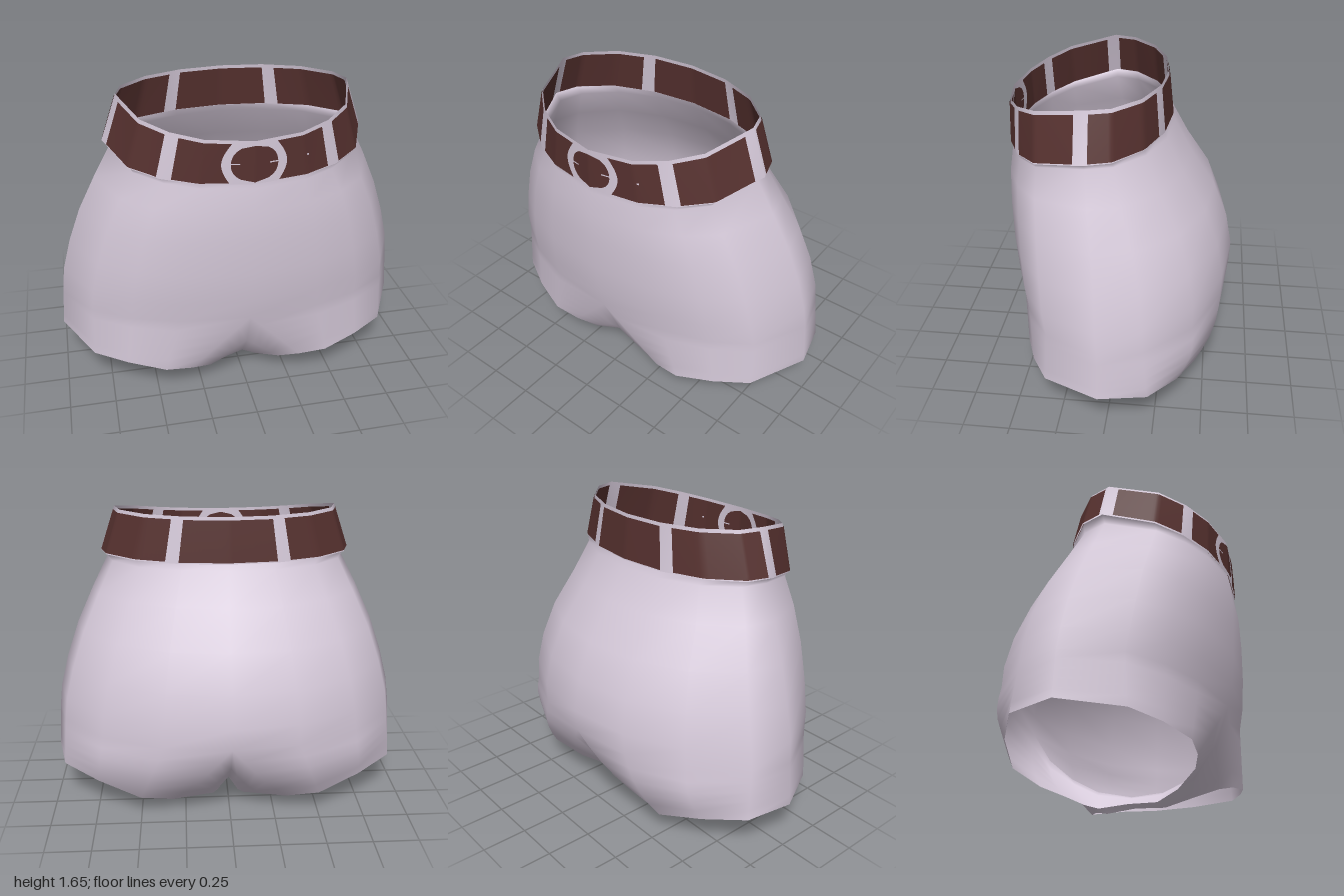
import * as THREE from 'three';
import { mergeGeometries, mergeVertices } from 'three/addons/utils/BufferGeometryUtils.js';

const fabric = new THREE.MeshStandardMaterial({ color: 0xd6cada, side: THREE.DoubleSide });
fabric.name = 'pale lilac fabric';
const leather = new THREE.MeshStandardMaterial({ color: 0x56312f, side: THREE.DoubleSide });
leather.name = 'dark brown leather';

// Surface from a function of u (rightwards) and v (upwards), both 0..1
function grid(nu, nv, fn) {
  const pos = [], idx = [];
  for (let j = 0; j <= nv; j++)
    for (let i = 0; i <= nu; i++) pos.push(...fn(i / nu, j / nv).toArray());
  for (let j = 0; j < nv; j++)
    for (let i = 0; i < nu; i++) {
      const a = j * (nu + 1) + i, b = a + 1, c = a + nu + 1, d = c + 1;
      idx.push(a, b, d, a, d, c);
    }
  const g = new THREE.BufferGeometry();
  g.setAttribute('position', new THREE.Float32BufferAttribute(pos, 3));
  g.setIndex(idx);
  return g;
}

function smooth(parts) {
  const g = mergeVertices(mergeGeometries(parts), 1e-4);
  g.computeVertexNormals();
  return g;
}

// Cross-section: height, half width, front z, back z, z of widest point, front drop, drop curve
function ringPoint([y, w, f, b, zc, drop, curve], degrees) {
  const angle = THREE.MathUtils.degToRad(degrees), c = Math.cos(angle);
  return new THREE.Vector3(w * Math.sin(angle),
    y - drop * Math.max(0, c) ** curve, zc + c * (c > 0 ? f - zc : zc - b));
}

// Facet corners in degrees from the front, mirrored round the back
const HALF = [0, 23, 40, 58, 90, 110, 135, 158, 180];
const COLS = [...HALF, ...HALF.slice(0, -1).reverse().map(a => 360 - a)];
const SIDES = COLS.length - 1;

const RINGS = [
  [0.50, 0.98, 0.565, -0.62, 0.03, 0, 1],
  [0.62, 0.965, 0.59, -0.625, 0.04, 0, 1],
  [0.80, 0.918, 0.61, -0.59, 0.05, 0, 1],
  [1.00, 0.848, 0.62, -0.51, 0.07, 0, 1],
  [1.20, 0.755, 0.62, -0.375, 0.10, 0.03, 1],
  [1.375, 0.665, 0.605, -0.28, 0.12, 0.085, 0.85],
  [1.415, 0.695, 0.603, -0.262, 0.12, 0.095, 0.85],
];
const BELT_LOW = [1.41, 0.70, 0.607, -0.265, 0.12, 0.095, 0.85];
const BELT_TOP = [1.655, 0.615, 0.607, -0.238, 0.12, 0.115, 1.3];

// Leg opening edge, from the crotch round the front, side and back
const HEM = [
  [0.05, 0.01, 0], [0.06, 0, 0.17], [0.1, 0.045, 0.3], [0.2, 0.11, 0.43], [0.31, 0.145, 0.48],
  [0.46, 0.17, 0.5], [0.66, 0.2, 0.43], [0.84, 0.22, 0.33], [1, 0.25, 0.03], [0.94, 0.235, -0.22],
  [0.74, 0.195, -0.36], [0.5, 0.13, -0.45], [0.32, 0.075, -0.385], [0.18, 0.045, -0.3],
  [0.09, 0.02, -0.24], [0.06, 0, -0.17], [0.05, 0.01, 0],
];
// Centre line under the crotch, either side of the lowest body ring
const CENTRE_FRONT = [[0, 0.06, 0], [0, 0.065, 0.18], [0, 0.135, 0.365], [0, 0.29, 0.485]];
const CENTRE_BACK = [[0, 0.33, -0.51], [0, 0.2, -0.36], [0, 0.11, -0.2], [0, 0.06, 0]];

function buildShorts() {
  const rows = RINGS.length - 1;
  const upper = grid(SIDES, rows, (u, v) =>
    ringPoint(RINGS[Math.round(v * rows)], COLS[Math.round(u * SIDES)]));

  const vec = p => new THREE.Vector3(...p);
  const hem = HEM.map(vec);
  const top = [
    ...CENTRE_FRONT.map(vec),
    ...HALF.map(a => ringPoint(RINGS[0], a)),
    ...CENTRE_BACK.map(vec),
  ];

  const leg = side => grid(16, 5, (u, v) => {
    const k = Math.round((side > 0 ? u : 1 - u) * 16);
    const p = hem[k].clone().lerp(top[k], v);
    // rounded seat
    if (k >= 10 && k <= 13) p.z -= 0.035 * Math.sin(Math.PI * v);
    p.x *= side;
    return p;
  });
  return new THREE.Mesh(smooth([upper, leg(1), leg(-1)]), fabric);
}

// Point on the faceted belt, pushed outwards by off
function beltPoint(degrees, v, off) {
  const d = (degrees + 360) % 360;
  const k = COLS.findIndex(c => c > d) - 1;
  const t = (d - COLS[k]) / (COLS[k + 1] - COLS[k]);
  const at = ring => ringPoint(ring, COLS[k]).lerp(ringPoint(ring, COLS[k + 1]), t);
  const p = at(BELT_LOW).lerp(at(BELT_TOP), v);
  const a = THREE.MathUtils.degToRad(d);
  const n = new THREE.Vector3(Math.sin(a) / 0.66, 0, Math.cos(a) / 0.45).normalize();
  return p.addScaledVector(n, off);
}

// Thin patch on both faces of the belt; from and to give degrees at height t
function beltPatch(name, material, from, to, v0, v1, off = 0.0045) {
  const face = o => grid(24, 12, (u, t) =>
    beltPoint(THREE.MathUtils.lerp(from(t), to(t), u), v0 + (v1 - v0) * t, o));
  const mesh = new THREE.Mesh(smooth([face(off), face(-off)]), material);
  mesh.name = name;
  return mesh;
}

export function createModel() {
  const model = new THREE.Group();
  model.name = 'shorts';

  const body = buildShorts();
  body.name = 'shortsBody';
  model.add(body);

  // Belt band
  const belt = new THREE.Group();
  belt.name = 'belt';
  const band = new THREE.Mesh(
    smooth([grid(SIDES, 1, (u, v) => beltPoint(COLS[Math.round(u * SIDES)], v, 0))]), fabric);
  band.name = 'beltBand';
  belt.add(band);

  // Leather panels between the loops, mirrored left and right
  const flat = d => () => d;
  const aroundBuckle = t => 10.5 + 4 * Math.sin(Math.PI * t);
  const panels = [
    ['frontPanel', aroundBuckle, flat(35)],
    ['sidePanel', flat(42), flat(83.5)],
    ['rearSidePanel', flat(93), flat(151)],
  ];
  for (const [name, a, b] of panels) {
    belt.add(beltPatch(name + 'Left', leather, a, b, 0.03, 0.93));
    belt.add(beltPatch(name + 'Right', leather, t => -b(t), t => -a(t), 0.03, 0.93));
  }
  belt.add(beltPatch('backPanel', leather, flat(158), flat(202), 0.03, 0.93));

  // Round buckle centre, its two notches and a belt hole
  const round = t => 10.4 * Math.sqrt(Math.max(0, 1 - Math.abs(2 * t - 1) ** 2.3));
  belt.add(beltPatch('buckleCentre', leather, t => -round(t), round, 0.05, 0.9));
  belt.add(beltPatch('buckleNotchLeft', fabric, flat(6.5), flat(10.5), 0.46, 0.49, 0.007));
  belt.add(beltPatch('buckleNotchRight', fabric, flat(-10.5), flat(-6.5), 0.46, 0.49, 0.007));
  belt.add(beltPatch('beltHole', fabric, flat(24), flat(25), 0.46, 0.5, 0.007));
  model.add(belt);

  return model;
}
